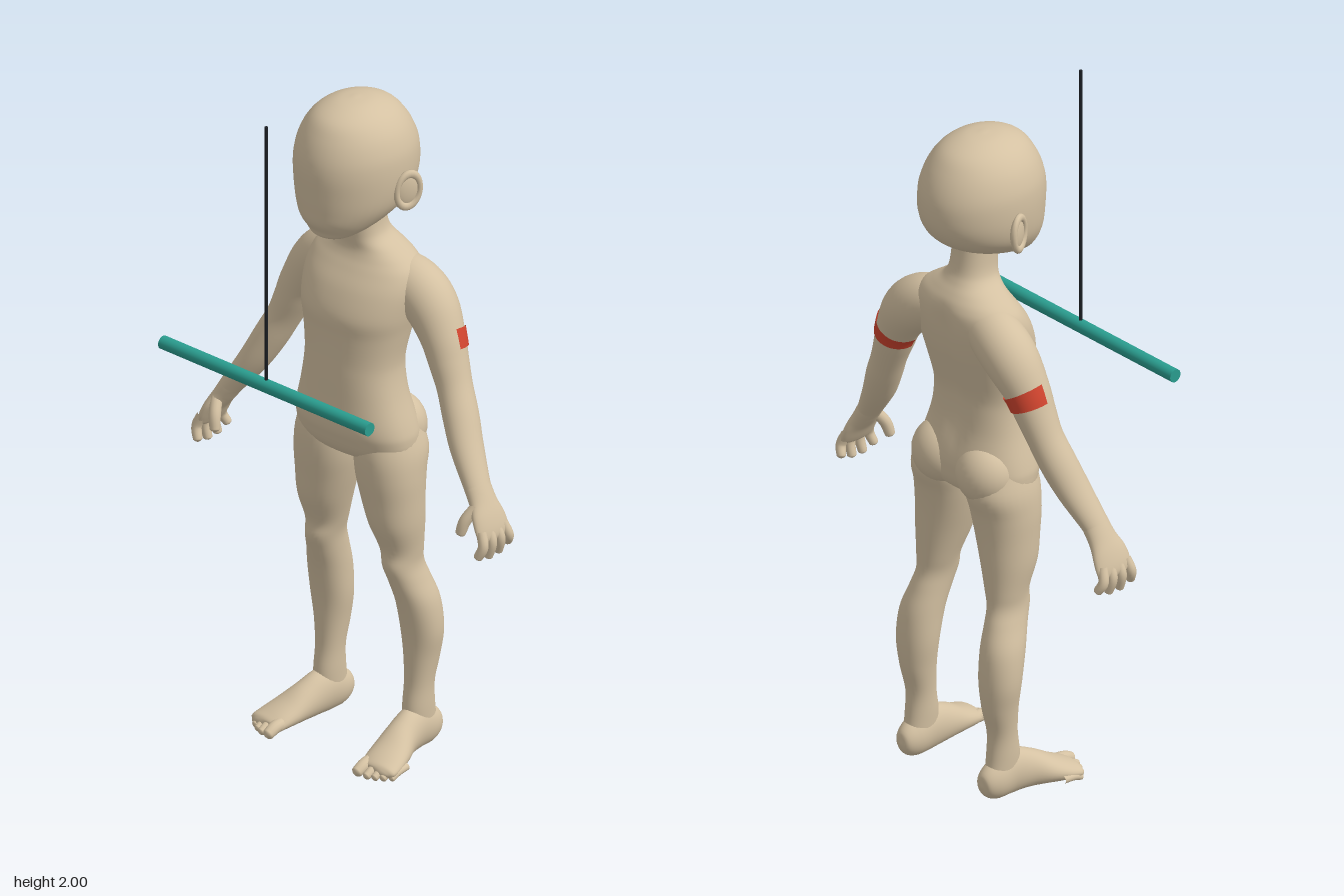
import * as THREE from 'three';
import { mergeVertices } from 'three/addons/utils/BufferGeometryUtils.js';

const flatMat = (name, color) => {
  const m = new THREE.MeshStandardMaterial({ color });
  m.name = name;
  return m;
};

const V = (x, y, z) => new THREE.Vector3(x, y, z);

// Smooth skin over elliptical sections [x, y, z, radiusAcross, radiusDeep].
// ref is the direction of the deep radius; flat keeps the sections horizontal (listed top down).
function loft(sections, o = {}) {
  const { ref = V(0, 0, 1), flat = false, seg = 32, from = 0, to = 1, a0 = 0, a1 = Math.PI * 2,
    grow = 0, square = 1, warp } = o;
  const curve = (f) => new THREE.CatmullRomCurve3(sections.map(f), false, 'catmullrom', 0.5);
  const path = curve((s) => V(s[0], s[1], s[2]));
  const size = curve((s) => V(s[3], s[4], 0));
  const closed = a1 - a0 > 6.28;
  const cols = closed ? seg : seg + 1;
  const rows = Math.max(6, Math.round((sections.length - 1) * 5 * (to - from)));
  const pos = [], index = [];
  const bend = (v) => Math.sign(v) * Math.abs(v) ** square;
  for (let i = 0; i <= rows; i++) {
    const k = from + (to - from) * i / rows;
    const c = path.getPoint(k), r = size.getPoint(k);
    const t = flat ? V(0, -1, 0) : path.getTangent(k);
    const w = ref.clone().addScaledVector(t, -ref.dot(t)).normalize();
    const u = w.clone().cross(t);
    for (let j = 0; j < cols; j++) {
      const a = a0 + (a1 - a0) * j / seg;
      const p = c.clone()
        .addScaledVector(u, (Math.max(r.x, 0) + grow) * bend(Math.cos(a)))
        .addScaledVector(w, (Math.max(r.y, 0) + grow) * bend(Math.sin(a)));
      if (warp) warp(p);
      pos.push(p.x, p.y, p.z);
      if (i < rows && (closed || j < seg)) {
        const n = i * cols + (j + 1) % cols, m = i * cols + j;
        index.push(m, n, m + cols, n, n + cols, m + cols);
      }
    }
  }
  let g = new THREE.BufferGeometry();
  g.setAttribute('position', new THREE.Float32BufferAttribute(pos, 3));
  g.setIndex(index);
  g = mergeVertices(g, 1e-5);
  g.computeVertexNormals();
  return g;
}

// Finger or toe through three points, with a round tip
function digit(p0, p1, p2, r, ref) {
  const d = V(...p2).sub(V(...p1)).normalize();
  const tip = (k) => V(...p2).addScaledVector(d, r * k).toArray();
  return loft([[...p0, r, r], [...p1, r, r], [...p2, r * 0.9, r * 0.9],
    [...tip(0.5), r * 0.7, r * 0.7], [...tip(0.85), 0, 0]], { ref, seg: 14 });
}

function mirrored(geo) {
  const g = geo.clone().scale(-1, 1, 1);
  const ix = g.index.array;
  for (let i = 0; i < ix.length; i += 3) [ix[i], ix[i + 1]] = [ix[i + 1], ix[i]];
  return g;
}

const column = (rows) => rows.map(([y, z, a, b]) => [0, y, z, a, b]);

export function createModel() {
  const root = new THREE.Group();
  const skin = flatMat('skin', 0xd4c1a2);
  const teal = flatMat('teal', 0x2a9d8f);
  const red = flatMat('red', 0xd2452f);
  const black = flatMat('black', 0x1c2024);
  red.side = THREE.DoubleSide;

  const add = (name, geo, mat = skin) => {
    const m = new THREE.Mesh(geo, mat);
    m.name = name;
    root.add(m);
  };
  const pair = (name, geo, mat) => {
    add('left' + name, geo, mat);
    add('right' + name, mirrored(geo), mat);
  };

  // Head, tapering forward to the chin
  add('head', loft(column([
    [1.953, -0.095, 0, 0], [1.945, -0.095, 0.052, 0.062], [1.92, -0.095, 0.098, 0.118],
    [1.88, -0.097, 0.132, 0.152], [1.83, -0.099, 0.152, 0.176], [1.78, -0.1, 0.158, 0.186],
    [1.72, -0.098, 0.155, 0.183], [1.67, -0.085, 0.143, 0.167], [1.63, -0.058, 0.118, 0.135],
    [1.60, -0.022, 0.088, 0.08], [1.58, 0.005, 0.052, 0.042], [1.572, 0.012, 0, 0],
  ]), { flat: true, seg: 40 }));

  // Ears: a thin shell with a raised rim, flared at the back
  const placeEar = (g) => g.rotateX(-0.12).rotateY(-0.4).translate(0.163, 1.715, -0.122);
  pair('Ear', placeEar(new THREE.SphereGeometry(1, 20, 14).scale(0.013, 0.05, 0.036)));
  pair('EarRim', placeEar(new THREE.TorusGeometry(0.036, 0.009, 10, 28)
    .rotateY(Math.PI / 2).scale(1, 1.35, 0.95).translate(0.006, 0, 0)));

  // Neck and trunk, with a shallow groove down the spine
  add('torso', loft(column([
    [1.70, -0.12, 0.056, 0.06], [1.62, -0.123, 0.058, 0.063], [1.56, -0.13, 0.062, 0.065],
    [1.53, -0.138, 0.076, 0.07], [1.505, -0.147, 0.11, 0.078], [1.48, -0.15, 0.145, 0.09],
    [1.45, -0.145, 0.17, 0.104], [1.40, -0.13, 0.178, 0.12], [1.33, -0.112, 0.17, 0.128],
    [1.27, -0.105, 0.158, 0.12], [1.2, -0.096, 0.147, 0.111], [1.15, -0.093, 0.147, 0.11],
    [1.08, -0.094, 0.16, 0.112], [1.0, -0.102, 0.183, 0.121], [0.96, -0.107, 0.19, 0.117],
    [0.92, -0.112, 0.182, 0.105], [0.895, -0.115, 0.13, 0.08], [0.875, -0.115, 0, 0],
  ]), {
    flat: true, seg: 48, square: 0.9,
    warp: (p) => {
      const fade = THREE.MathUtils.smoothstep(p.y, 0.98, 1.12) * (1 - THREE.MathUtils.smoothstep(p.y, 1.4, 1.5));
      if (p.z < -0.15) p.z += 0.014 * fade * Math.exp(-((p.x / 0.03) ** 2));
    },
  }));
  pair('Buttock', new THREE.SphereGeometry(1, 28, 20).scale(0.088, 0.092, 0.084).translate(0.086, 0.962, -0.161));

  // Legs
  pair('Leg', loft([
    [0.098, 1.0, -0.115, 0.075, 0.085], [0.105, 0.92, -0.122, 0.093, 0.106], [0.11, 0.85, -0.115, 0.094, 0.097],
    [0.117, 0.78, -0.115, 0.086, 0.088], [0.127, 0.70, -0.119, 0.073, 0.08], [0.134, 0.62, -0.132, 0.055, 0.064],
    [0.139, 0.57, -0.132, 0.047, 0.065], [0.147, 0.52, -0.148, 0.05, 0.064], [0.158, 0.45, -0.17, 0.058, 0.063],
    [0.162, 0.36, -0.183, 0.059, 0.057], [0.161, 0.28, -0.183, 0.048, 0.051], [0.16, 0.20, -0.174, 0.039, 0.043],
    [0.16, 0.13, -0.171, 0.038, 0.05], [0.16, 0.07, -0.175, 0.036, 0.055],
  ], { flat: true, square: 0.95 }));

  // Feet, flattened on the ground, and toes from the big one outward
  const up = V(0, 1, 0);
  pair('Foot', loft([
    [0.158, 0.052, -0.25, 0, 0], [0.158, 0.053, -0.24, 0.026, 0.034], [0.16, 0.058, -0.205, 0.04, 0.056],
    [0.162, 0.068, -0.15, 0.042, 0.066], [0.17, 0.058, -0.09, 0.046, 0.055], [0.185, 0.042, -0.03, 0.056, 0.038],
    [0.197, 0.03, 0.02, 0.058, 0.026], [0.2, 0.024, 0.045, 0.05, 0.018], [0.2, 0.022, 0.055, 0, 0],
  ], { ref: up, warp: (p) => { p.y = Math.max(p.y, 0.006); } }));
  [[0.16, 0.073, 0.018], [0.189, 0.069, 0.013], [0.21, 0.06, 0.012], [0.229, 0.048, 0.012], [0.246, 0.032, 0.011]]
    .forEach(([x, z, r], i) => pair('Toe' + (i + 1),
      digit([x - 0.002, r + 0.014, z - 0.06], [x, r + 0.012, z - 0.025], [x, r + 0.003, z], r, up)));

  // Arms from inside the chest to the wrist
  const arm = [
    [0.05, 1.43, -0.165, 0.05, 0.055], [0.11, 1.415, -0.17, 0.072, 0.07], [0.165, 1.387, -0.175, 0.078, 0.076],
    [0.21, 1.345, -0.174, 0.073, 0.074], [0.252, 1.28, -0.166, 0.06, 0.064], [0.278, 1.22, -0.16, 0.053, 0.058],
    [0.307, 1.155, -0.152, 0.047, 0.052], [0.342, 1.085, -0.137, 0.046, 0.053], [0.382, 1.01, -0.117, 0.041, 0.05],
    [0.44, 0.922, -0.094, 0.031, 0.041], [0.46, 0.89, -0.09, 0.028, 0.042],
  ];
  pair('Arm', loft(arm));

  // Red patch wrapped round the back of each upper arm
  pair('ArmBand', loft(arm, { from: 0.385, to: 0.455, a0: Math.PI * 0.98, a1: Math.PI * 2.02, grow: 0.004 }), red);

  // Hands: palm, four curled fingers and a thumb
  pair('Palm', loft([
    [0.44, 0.922, -0.094, 0.031, 0.041], [0.464, 0.885, -0.09, 0.027, 0.045], [0.486, 0.85, -0.086, 0.023, 0.057],
    [0.502, 0.815, -0.085, 0.019, 0.06], [0.508, 0.795, -0.085, 0.013, 0.05], [0.51, 0.785, -0.085, 0, 0],
  ]));
  const deep = V(0, 0, 1);
  [[-0.041, -0.026, 0.758], [-0.07, -0.066, 0.748], [-0.098, -0.105, 0.75], [-0.125, -0.143, 0.763]]
    .forEach(([z0, z1, y], i) => pair('Finger' + (i + 1),
      digit([0.502, 0.825, z0], [0.516, 0.788, (z0 + z1) / 2], [0.506, y, z1], 0.0145, deep)));
  pair('Thumb', digit([0.468, 0.882, -0.06], [0.451, 0.845, -0.034], [0.443, 0.812, -0.025], 0.0165, deep));

  // Bar hanging in front on a cord
  add('bar', new THREE.CylinderGeometry(0.019, 0.019, 0.745, 24).rotateZ(Math.PI / 2).translate(0, 1.212, 0.263), teal);
  add('cord', new THREE.CylinderGeometry(0.005, 0.005, 0.775, 10).translate(0, 1.6125, 0.263), black);

  return root;
}
